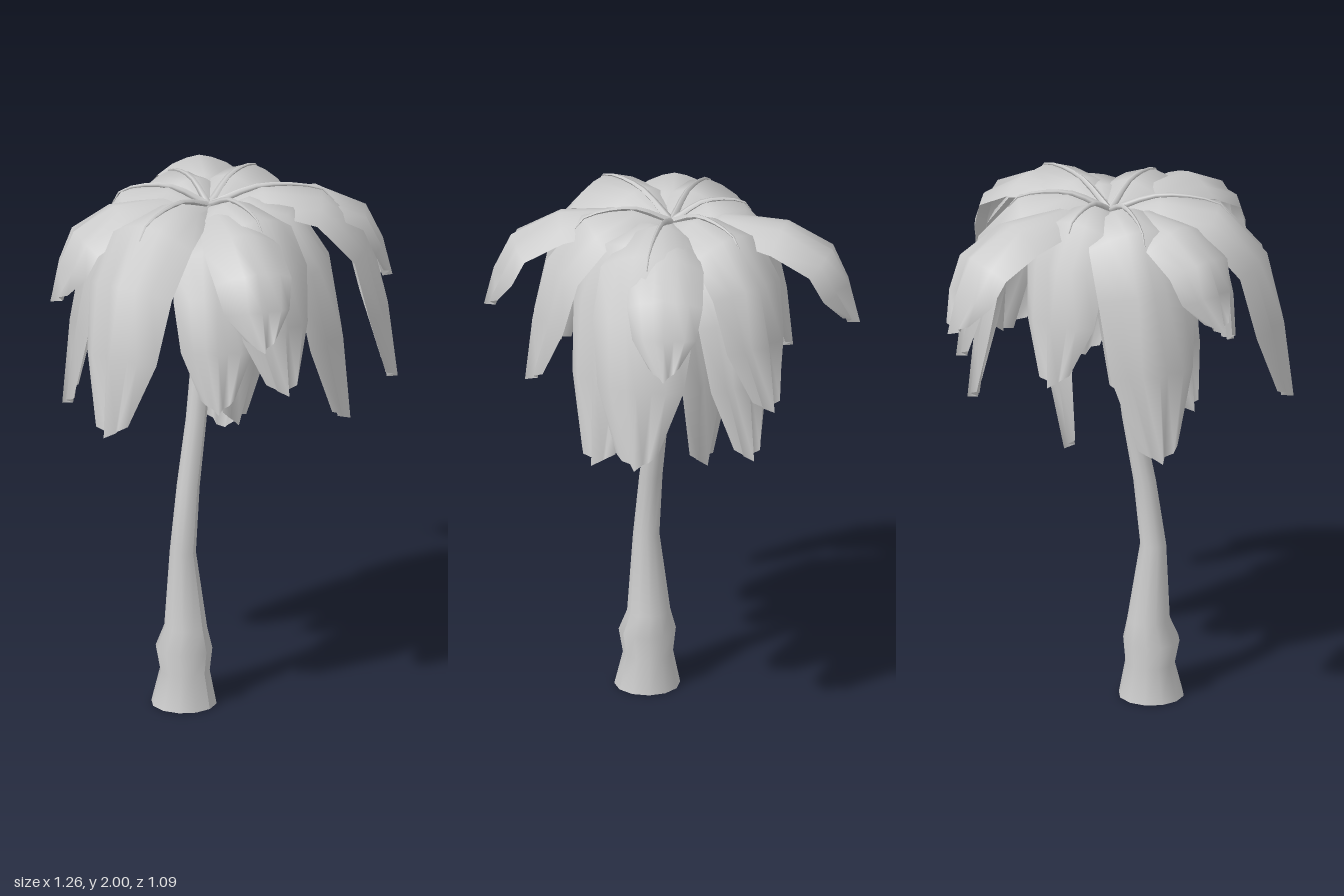
import * as THREE from 'three';

const material = new THREE.MeshStandardMaterial({ color: 0xcccccc, side: THREE.DoubleSide });
const crown = new THREE.Vector3(0.05, 0, -0.035);

function addMesh(parent, geometry, name) {
  const mesh = new THREE.Mesh(geometry, material);
  mesh.name = name;
  parent.add(mesh);
}

// Leaning trunk: a cylinder whose rings follow [y, centre x, radius]
function trunkGeometry() {
  const rings = [
    [0, -0.105, 0.122], [0.13, -0.1, 0.093], [0.22, -0.105, 0.106], [0.3, -0.095, 0.08],
    [0.6, -0.112, 0.049], [0.85, -0.08, 0.043], [1.1, -0.033, 0.039], [1.5, 0.02, 0.037], [1.93, 0.05, 0.03],
  ];
  const sides = 12;
  const geo = new THREE.CylinderGeometry(1, 1, 1, sides, rings.length - 1, true);
  const pos = geo.attributes.position;
  for (let i = 0; i < pos.count; i++) {
    const row = rings.length - 1 - Math.floor(i / (sides + 1));
    const [y, cx, r] = rings[row];
    pos.setXYZ(i, cx + pos.getX(i) * r, y, -0.03 + pos.getZ(i) * r);
  }
  geo.computeVertexNormals();
  return geo;
}

// Spine of a frond: rises from the crown, arches over and hangs to its tip
function spinePoints(tip, top, bulge) {
  const out = new THREE.Vector3(tip.x - crown.x, 0, tip.z - crown.z);
  const reach = [0, 0.28, 0.61 * bulge, 0.865 * bulge, 0.945 * bulge, 1];
  const fall = [0.08, 0, 0.03, 0.27, 0.62, 1];
  return reach.map((r, i) => crown.clone().addScaledVector(out, r)
    .setY(i === 0 ? top - 0.07 : top - (top - tip.y) * fall[i]));
}

// Blade: arched cross-sections swept along the spine, pleated towards a pointed end
function bladeGeometry(spine, size) {
  const halfWidths = [0.03, 0.12, 0.172, 0.175, 0.148, 0.07];
  const pleat = [0, 0, 0, 0.35, 1, 0.9];
  const across = [-1, -0.65, -0.3, 0, 0.3, 0.65, 1];
  const sag = [0.45, 0.2, 0.06, 0, 0.06, 0.2, 0.45];
  const rib = [0, 0.012, -0.028, 0.014, -0.028, 0.012, 0];
  const out = spine[5].clone().sub(spine[0]).setY(0).normalize();
  const side = new THREE.Vector3(-out.z, 0, out.x);
  const n = across.length, vertices = [], index = [];
  spine.forEach((p, i) => {
    const along = spine[Math.min(i + 1, 5)].clone().sub(spine[Math.max(i - 1, 0)]).normalize();
    const normal = along.clone().cross(side).negate();
    const w = halfWidths[i] * size;
    across.forEach((u, j) => {
      const v = p.clone().addScaledVector(side, u * w)
        .addScaledVector(normal, -sag[j] * w + pleat[i] * rib[j]);
      if (i === 5) v.addScaledVector(along, -0.05 * Math.abs(u));
      vertices.push(v.x, v.y, v.z);
      if (i < 5 && j < n - 1) {
        const a = i * n + j, b = a + n;
        index.push(a, a + 1, b, a + 1, b + 1, b);
      }
    });
  });
  const geo = new THREE.BufferGeometry();
  geo.setAttribute('position', new THREE.Float32BufferAttribute(vertices, 3));
  geo.setIndex(index);
  geo.computeVertexNormals();
  return geo;
}

// Stalk: a thin tube on the first part of the spine, tapering to a point
function stalkGeometry(spine) {
  const points = spine.slice(0, 3).map((p) => p.clone().setY(p.y + 0.003));
  points.push(points[2].clone().lerp(spine[3], 0.25));
  const curve = new THREE.CatmullRomCurve3(points);
  const segments = 8, sides = 5;
  const geo = new THREE.TubeGeometry(curve, segments, 0.015, sides, false);
  const pos = geo.attributes.position, v = new THREE.Vector3();
  for (let i = 0; i < pos.count; i++) {
    const t = Math.floor(i / (sides + 1)) / segments;
    const c = curve.getPointAt(t);
    v.fromBufferAttribute(pos, i).sub(c).multiplyScalar(1 - 0.85 * t).add(c);
    pos.setXYZ(i, v.x, v.y, v.z);
  }
  geo.computeVertexNormals();
  return geo;
}

export function createModel() {
  const model = new THREE.Group();
  model.name = 'palmTree';
  addMesh(model, trunkGeometry(), 'trunk');

  // Frond tips [x, y, z, size, bulge]
  const upper = [
    [-0.62, 1.21, 0.01, 1.05, 1], [-0.23, 1.11, -0.49, 1.1, 1], [0.2, 1.37, -0.46, 0.95, 1],
    [0.6, 1.33, -0.12, 0.95, 1], [0.54, 1.21, 0.45, 1.1, 1], [-0.13, 1.34, 0.48, 1, 1],
  ];
  const middle = [
    [-0.44, 1.6, -0.38, 0.85, 1], [0.56, 1.58, -0.52, 0.9, 1], [-0.33, 1.58, 0.53, 0.85, 1],
    [0.61, 1.57, 0.37, 0.8, 1], [0.26, 1.13, 0.45, 1.05, 1],
  ];
  const lower = [
    [0.02, 1.1, 0.12, 0.85, 1.7], [0.57, 1.14, -0.05, 0.85, 1], [-0.34, 1.29, 0.32, 0.9, 1],
    [-0.3, 1.23, -0.25, 0.85, 1], [0.2, 0.98, -0.085, 0.95, 1.5],
  ];
  const addLayer = (tips, name, top, stalks) => {
    const layer = new THREE.Group();
    layer.name = name;
    tips.forEach(([x, y, z, size, bulge]) => {
      const spine = spinePoints(new THREE.Vector3(x, y, z), top, bulge);
      addMesh(layer, bladeGeometry(spine, size), 'frond');
      if (stalks) addMesh(layer, stalkGeometry(spine), 'stalk');
    });
    model.add(layer);
  };
  addLayer(upper, 'upperFronds', 1.985, true);
  addLayer(middle, 'middleFronds', 1.965, false);
  addLayer(lower, 'lowerFronds', 1.88, false);
  return model;
}
